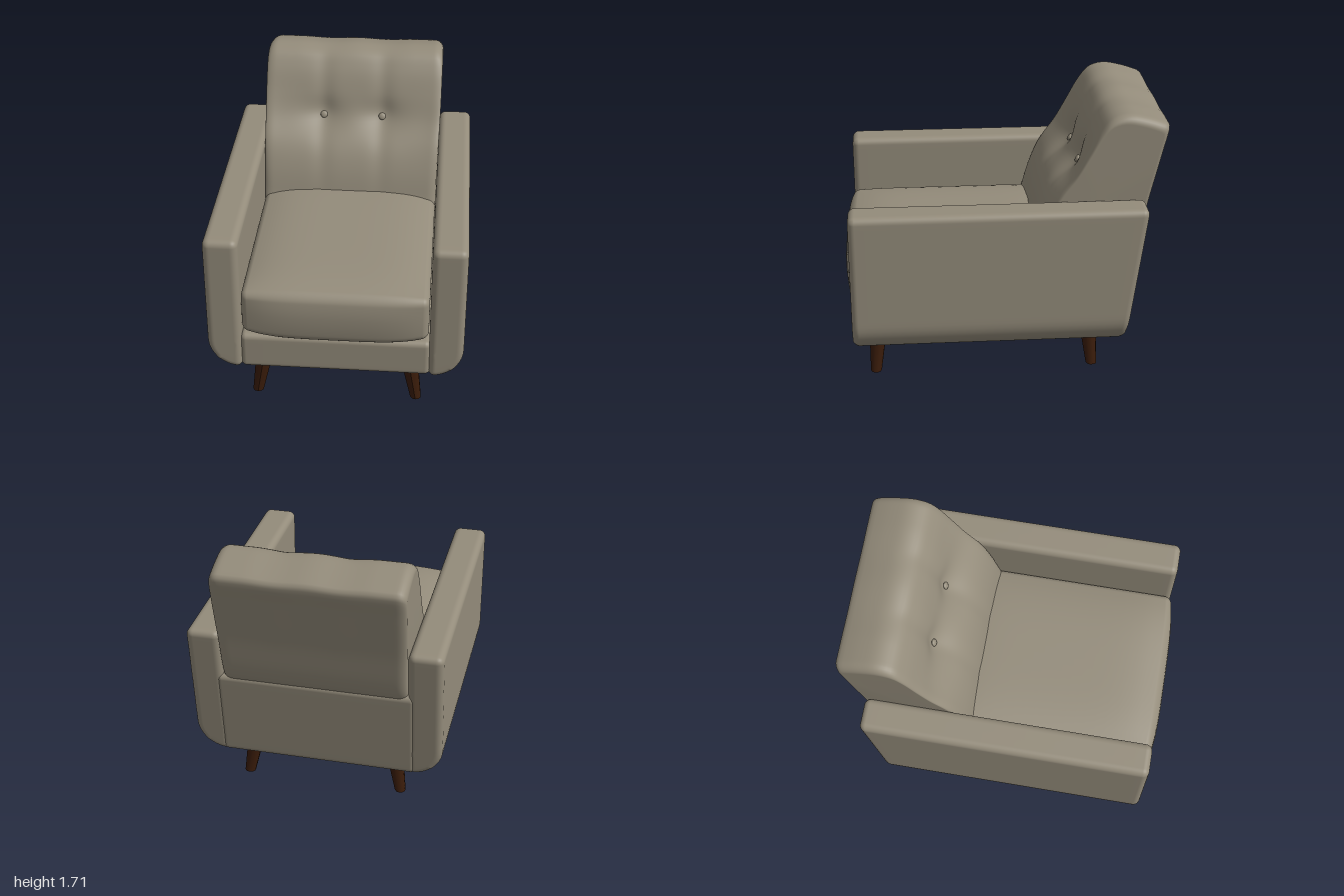
import * as THREE from 'three';
import { mergeVertices } from 'three/addons/utils/BufferGeometryUtils.js';

const fabric = new THREE.MeshStandardMaterial({ color: 0x948c7b });
fabric.name = 'taupeFabric';
const wood = new THREE.MeshStandardMaterial({ color: 0x3a1c0a });
wood.name = 'darkWood';

const { clamp, smoothstep } = THREE.MathUtils;

// Rounded, finely divided box between two corners, reshaped by an optional rule
function softBox(min, max, r, deform, mid = 20) {
  const k = 4, n = 2 * k + mid;
  const geo = new THREE.BoxGeometry(1, 1, 1, n, n, n);
  const pos = geo.attributes.position;
  const half = max.map((m, a) => (m - min[a]) / 2);
  const p = new THREE.Vector3(), off = new THREE.Vector3();
  const spread = (t, h) => {
    const i = Math.round((t + 0.5) * n), c = h - r;
    if (i < k) return -c - r * Math.tan((Math.PI / 4) * (k - i) / k);
    if (i > n - k) return c + r * Math.tan((Math.PI / 4) * (i - n + k) / k);
    return -c + (2 * c * (i - k)) / mid;
  };
  for (let v = 0; v < pos.count; v++) {
    p.fromBufferAttribute(pos, v).toArray().forEach((t, a) => {
      const s = spread(t, half[a]), inner = clamp(s, r - half[a], half[a] - r);
      off.setComponent(a, s - inner);
      p.setComponent(a, inner + (min[a] + max[a]) / 2);
    });
    p.add(off.setLength(r));
    if (deform) deform(p);
    pos.setXYZ(v, p.x, p.y, p.z);
  }
  geo.deleteAttribute('uv');
  geo.deleteAttribute('normal');
  const out = mergeVertices(geo, 1e-5);
  out.computeVertexNormals();
  return out;
}

// The rear of the frame leans backwards
const lean = (p) => { if (p.z < 0) p.z -= (p.y - 0.26) * 0.133 * clamp(-p.z / 0.5, 0, 1); };

// Arm with a large round on its lower outer edge
function armGeometry(side) {
  const R = 0.2, r = 0.042, c = R - r, cx = 0.59, cy = 0.457;
  const xs = [0.577 * side, 0.79 * side].sort((a, b) => a - b);
  return softBox([xs[0], 0.257, -0.74], [xs[1], 1.182, 0.957], r, (p) => {
    const a = p.x * side - cx, b = cy - p.y;
    if (a > 0 && b > 0) {
      // Distance to the small-radius outline in this direction, then remap to the large arc
      const h = Math.hypot(a, b), dc = (c * (a + b)) / h;
      let reach = (R * h) / Math.max(a, b);
      if ((reach * Math.min(a, b)) / h > c) reach = dc + Math.sqrt(dc * dc - 2 * c * c + r * r);
      p.x = side * (cx + (a * R) / reach);
      p.y = cy - (b * R) / reach;
    }
    lean(p);
  }, 26);
}

// Depth of the tufting on the front of the back cushion
function tuft(x, y) {
  const bell = (t, w) => Math.exp(-(t * t) / (w * w));
  const edge = 1 - Math.pow(Math.min(1, Math.abs(x) / 0.58), 4);
  const cols = bell(x - 0.195, 0.06) + bell(x + 0.195, 0.06);
  const wide = bell(x - 0.195, 0.13) + bell(x + 0.195, 0.13);
  return 0.035 * edge * bell(y - 1.3, 0.17) + 0.014 * cols * bell(y - 1.35, 0.4)
    + 0.035 * wide * bell(y - 1.3, 0.1);
}

// Back cushion: side profile lofted across the width with rounded ends
function backGeometry() {
  const outline = [
    [-0.18, 0.75], [-0.205, 0.87], [-0.25, 1.02], [-0.315, 1.17], [-0.42, 1.32],
    [-0.5, 1.46], [-0.585, 1.61], [-0.65, 1.685], [-0.74, 1.712], [-0.86, 1.692],
    [-0.97, 1.655], [-0.994, 1.643], [-0.997, 1.622], [-0.965, 1.48], [-0.9, 1.2],
    [-0.828, 0.88], [-0.78, 0.8], [-0.74, 0.7], [-0.45, 0.66], [-0.22, 0.68],
  ].map(([z, y]) => new THREE.Vector3(0, y, z));
  const N = 110, M = 56, K = 7, W = 0.582, round = 0.06;
  const loop = new THREE.CatmullRomCurve3(outline, true).getSpacedPoints(N).slice(0, N);
  // Sections as [x, scale], closer together in the rounded ends
  const cap = [];
  for (let i = 0; i < K; i++) {
    const a = (i / K) * Math.PI / 2;
    cap.push([-W + round * (1 - Math.cos(a)), 0.9 + 0.1 * Math.sin(a)]);
  }
  const sections = [...cap];
  for (let i = 0; i <= M; i++) sections.push([(W - round) * (2 * i / M - 1), 1]);
  sections.push(...cap.map(([x, s]) => [-x, s]).reverse());

  const cy = 1.2, cz = -0.58, pos = [], index = [];
  for (const [x, s] of sections) {
    const wave = Math.abs(x) < 0.39 ? (Math.cos((x / 0.195) * Math.PI) - 1) / 2 : 0;
    for (const q of loop) {
      const front = clamp((q.z + 0.83 + (q.y - 0.88) * 0.228) / 0.25, 0, 1);
      const dip = 0.05 * Math.max(0, q.y - 1.5) * wave;
      const narrow = 0.985 + 0.02 * smoothstep(q.y, 0.85, 1.5);
      pos.push(x * narrow, cy + (q.y - cy) * s + dip, cz + (q.z - cz) * s - tuft(x, q.y) * front);
    }
  }
  const S = sections.length;
  for (let i = 0; i < S - 1; i++) {
    for (let j = 0; j < N; j++) {
      const a = i * N + j, b = i * N + (j + 1) % N;
      index.push(a, a + N, b, b, a + N, b + N);
    }
  }
  // Flat ends
  [0, S - 1].forEach((row) => {
    const c = pos.length / 3;
    pos.push(sections[row][0], cy, cz);
    for (let j = 0; j < N; j++) {
      const a = row * N + j, b = row * N + (j + 1) % N;
      if (row === 0) index.push(c, a, b);
      else index.push(c, b, a);
    }
  });
  const geo = new THREE.BufferGeometry();
  geo.setAttribute('position', new THREE.Float32BufferAttribute(pos, 3));
  geo.setIndex(index);
  geo.computeVertexNormals();
  return geo;
}

export function createModel() {
  const model = new THREE.Group();
  model.name = 'armchair';
  const add = (name, geo, mat = fabric) => {
    const mesh = new THREE.Mesh(geo, mat);
    mesh.name = name;
    model.add(mesh);
    return mesh;
  };

  // Frame
  add('frontRail', softBox([-0.587, 0.26, -0.6], [0.587, 0.505, 0.945], 0.035, null, 8));
  add('undersidePanel', new THREE.BoxGeometry(1.24, 0.06, 1.6).translate(0, 0.286, 0.1));
  add('backPanel', softBox([-0.63, 0.257, -0.742], [0.63, 0.87, -0.5], 0.042, lean, 8));
  add('leftArm', armGeometry(1));
  add('rightArm', armGeometry(-1));

  // Seat cushion, crowned on top and bowed at the front
  add('seatCushion', softBox([-0.572, 0.545, -0.45], [0.572, 0.825, 0.955], 0.04, (p) => {
    const u = Math.abs(p.x / 0.572), w = Math.abs((p.z - 0.25) / 0.705), v = (p.y - 0.685) / 0.14;
    const across = 1 - Math.pow(u, 4);
    p.y += v > 0 ? 0.06 * v * across * (1 - 0.85 * Math.pow(w, 6)) : 0.045 * v * across;
    if (p.z > 0.25) p.z += 0.042 * Math.pow(w, 4) * across * (1 - 0.5 * v * v);
  }));

  // Back cushion with two buttons
  add('backCushion', backGeometry());
  for (const side of [1, -1]) {
    const button = add(side > 0 ? 'leftButton' : 'rightButton', new THREE.SphereGeometry(0.024, 20, 12));
    button.scale.z = 0.5;
    button.rotation.x = -0.5;
    button.position.set(0.195 * side, 1.305, -0.486);
  }

  // Tapered, splayed legs
  for (const side of [1, -1]) {
    for (const [end, top, foot] of [['front', 0.805, 0.825], ['rear', -0.543, -0.567]]) {
      const geo = new THREE.CylinderGeometry(0.055, 0.035, 0.27, 10);
      const pos = geo.attributes.position;
      for (let i = 0; i < pos.count; i++) {
        const t = pos.getY(i) / 0.27 + 0.5;
        pos.setXYZ(i, pos.getX(i) + side * (0.502 - 0.045 * t), t * 0.27,
          pos.getZ(i) + foot + (top - foot) * t);
      }
      geo.computeVertexNormals();
      add(end + (side > 0 ? 'Left' : 'Right') + 'Leg', geo, wood);
    }
  }
  return model;
}
